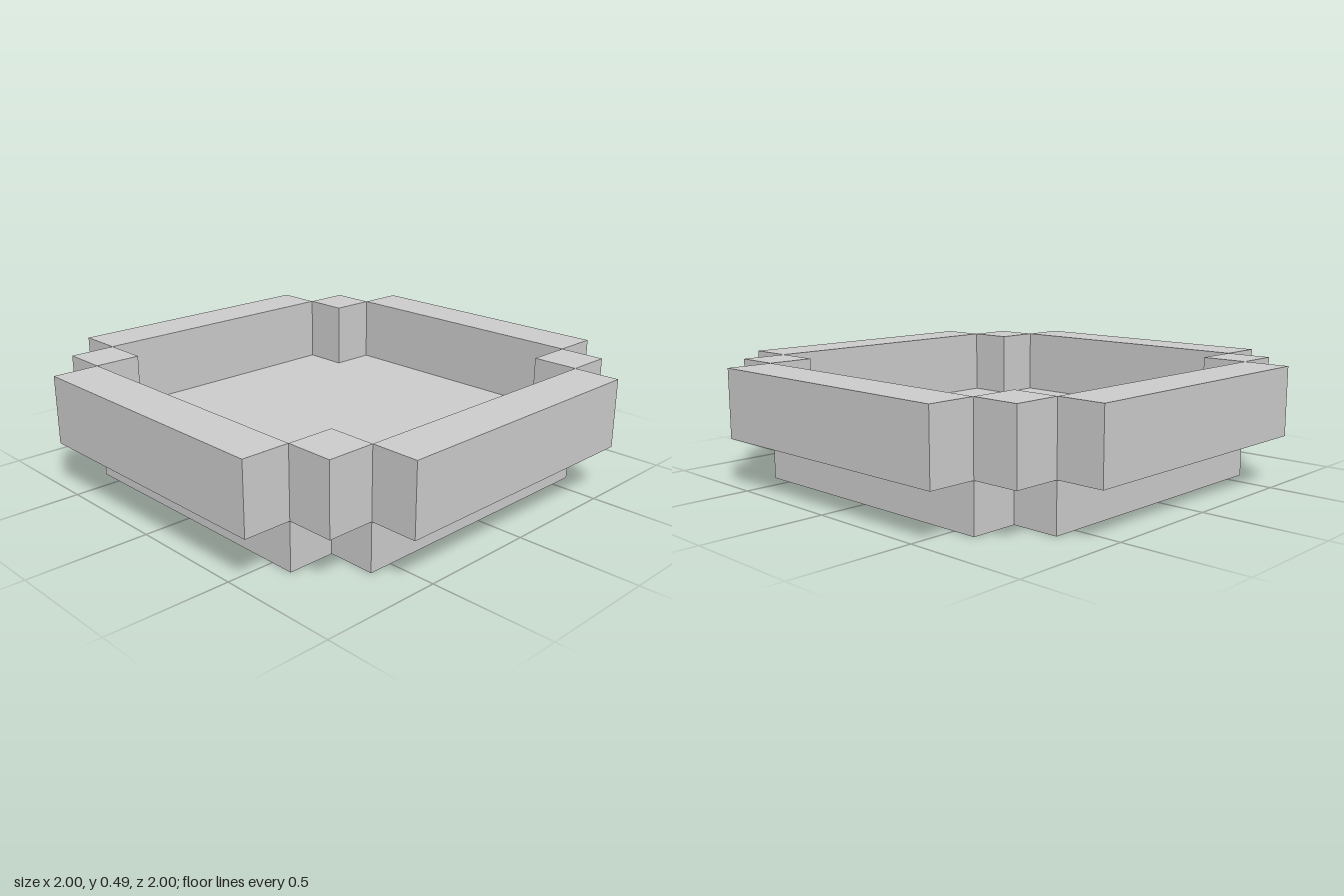
import * as THREE from 'three';

const FLOOR = 0.2, TOP = 0.49; // floor height and rim height
const IN = 0.6, MID = 0.8, OUT = 1; // stepped outline distances

export function createModel() {
  const group = new THREE.Group();
  const material = new THREE.MeshStandardMaterial({ color: 0xcccccc, flatShading: true });
  const add = (name, geometry, x, y, z) => {
    const mesh = new THREE.Mesh(geometry, material);
    mesh.name = name;
    mesh.position.set(x, y, z);
    group.add(mesh);
    return mesh;
  };

  // Floor slab: a square with notched corners
  const outline = new THREE.Shape([
    [IN, -MID], [IN, -IN], [MID, -IN], [MID, IN], [IN, IN], [IN, MID],
    [-IN, MID], [-IN, IN], [-MID, IN], [-MID, -IN], [-IN, -IN], [-IN, -MID],
  ].map(([x, y]) => new THREE.Vector2(x, y)));
  const slab = new THREE.ExtrudeGeometry(outline, { depth: FLOOR, bevelEnabled: false });
  slab.rotateX(-Math.PI / 2);
  add('floor', slab, 0, 0, 0);

  // Four rim walls, overhanging the floor slab
  const height = TOP - FLOOR, midY = (TOP + FLOOR) / 2, thick = OUT - MID;
  const wall = new THREE.BoxGeometry(2 * IN, height, thick);
  ['frontWall', 'leftWall', 'backWall', 'rightWall'].forEach((name, i) => {
    const a = i * Math.PI / 2, r = (OUT + MID) / 2;
    add(name, wall, Math.sin(a) * r, midY, Math.cos(a) * r).rotation.y = a;
  });

  // Corner posts linking the walls
  const post = new THREE.BoxGeometry(thick, height, thick), c = (IN + MID) / 2;
  for (const [side, x] of [['Left', c], ['Right', -c]]) {
    add(`front${side}Post`, post, x, midY, c);
    add(`back${side}Post`, post, x, midY, -c);
  }
  return group;
}
